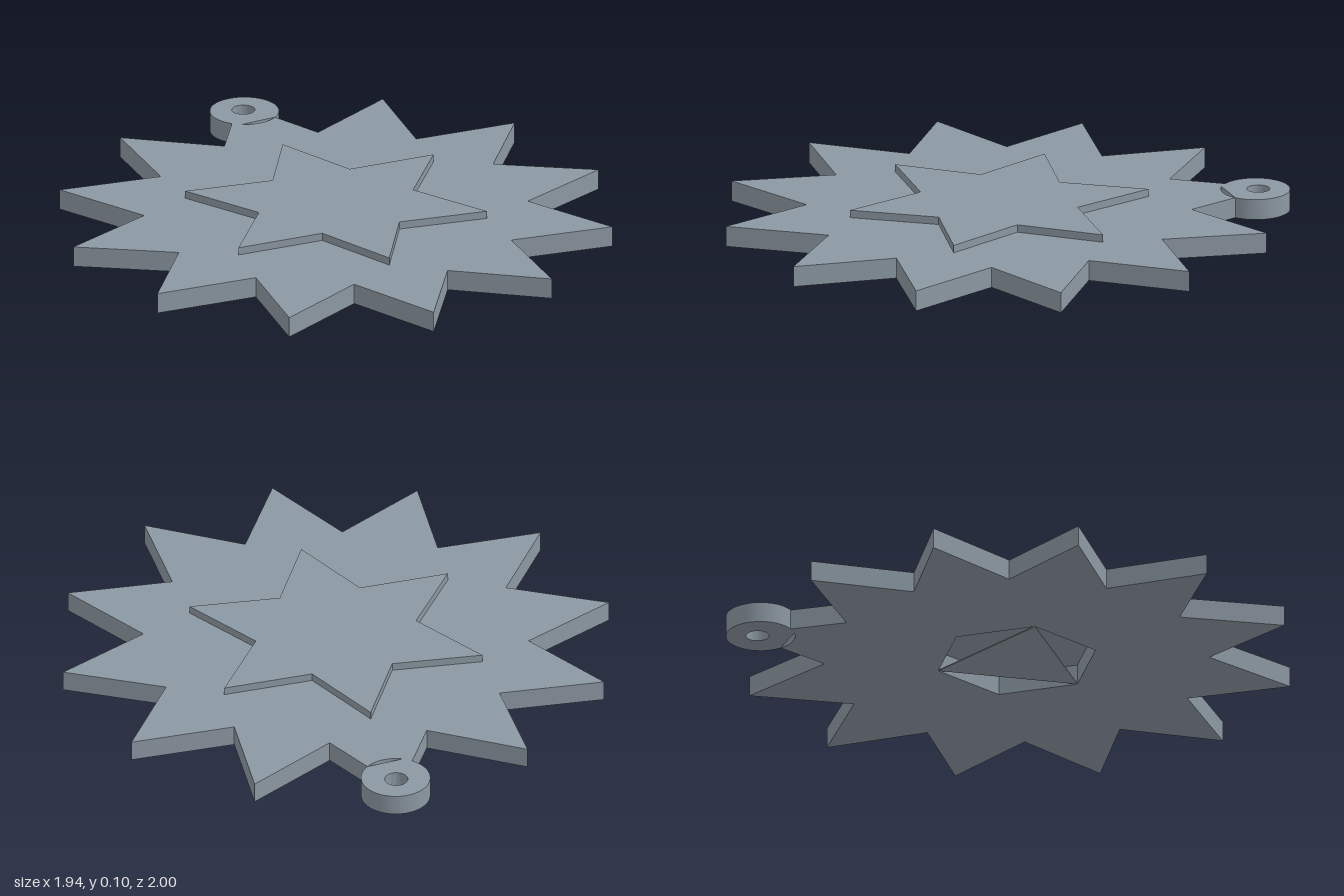
import * as THREE from 'three';
import { toCreasedNormals } from 'three/addons/utils/BufferGeometryUtils.js';

const THICK = 0.073, TOP = 0.1;
const CENTRE = -0.03; // star centre in plan, plan y = -z
const LOOP = { y: 0.88, r: 0.12 };

// Points of a star (or polygon when both radii match), starting at the back tip
function starPoints(tips, outer, inner) {
  return Array.from({ length: tips * 2 }, (_, i) => {
    const a = Math.PI / 2 + (i * Math.PI) / tips;
    const r = i % 2 ? inner : outer;
    return new THREE.Vector2(r * Math.cos(a), CENTRE + r * Math.sin(a));
  });
}

// Extrude a plan shape upward from height y
function slab(name, shape, y, height, material) {
  let geo = new THREE.ExtrudeGeometry(shape, { depth: height, bevelEnabled: false, curveSegments: 32 });
  geo.rotateX(-Math.PI / 2);
  geo = toCreasedNormals(geo, 0.45);
  const mesh = new THREE.Mesh(geo, material);
  mesh.name = name;
  mesh.position.y = y;
  return mesh;
}

export function createModel() {
  const model = new THREE.Group();
  model.name = 'starPendant';
  const grey = new THREE.MeshStandardMaterial({ color: 0x8c98a2 });
  grey.name = 'blueGrey';

  // Angles where the back tip meets the loop, and where the loop's chord ends
  const right = Math.atan2(-0.09, 0.08);
  const left = Math.PI - right;
  const chordEnd = Math.PI * 2 + Math.atan2(-0.109, -0.05);

  // Twelve-pointed base; its back tip is cut to the loop's curve
  const base = new THREE.Shape(starPoints(12, 0.97, 0.667).slice(1));
  base.absarc(0, LOOP.y, LOOP.r, right, left - Math.PI * 2, true);
  base.closePath();

  // Six-sided recess under the raised star
  const hexagon = [0, 1, 2, 3, 4, 5].map((i) => {
    const a = (i * Math.PI) / 3;
    return new THREE.Vector2(0.285 * Math.cos(a), CENTRE + 0.285 * Math.sin(a));
  });
  base.holes.push(new THREE.Path(hexagon));
  model.add(slab('baseStar', base, 0, THICK, grey));

  // Triangular panel spanning alternate corners of the recess
  const panel = new THREE.Shape([hexagon[1], hexagon[3], hexagon[5]]);
  model.add(slab('undersidePanel', panel, 0, 0.004, grey));

  // Raised six-pointed star
  const raised = new THREE.Shape(starPoints(6, 0.53, 0.285));
  model.add(slab('raisedStar', raised, THICK, TOP - THICK, grey));

  // Hanging loop, its front cut by a chord that leaves a small slit
  const loop = new THREE.Shape();
  loop.absarc(0, LOOP.y, LOOP.r, right, chordEnd, false);
  loop.closePath();
  const eye = new THREE.Path();
  eye.absarc(0, 0.89, 0.04, 0, Math.PI * 2, true);
  loop.holes.push(eye);
  model.add(slab('hangingLoop', loop, 0, THICK, grey));

  return model;
}
